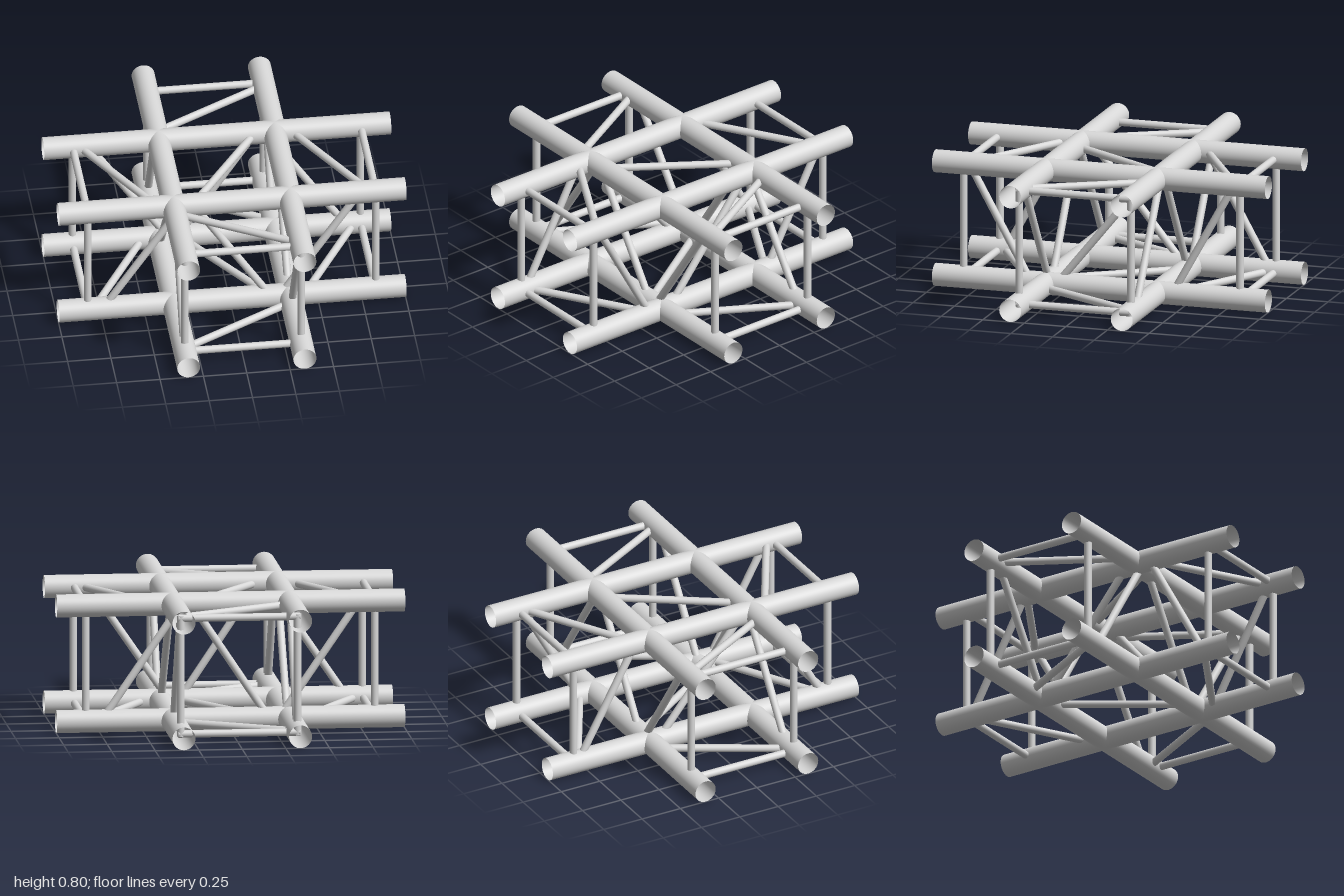
import * as THREE from 'three';

const C = 0.335;   // tube centre offset from the middle axes
const MID = 0.4;   // mid height
const TUBE_R = 0.066;
const BAR_R = 0.022;
const UP = new THREE.Vector3(0, 1, 0);

export function createModel() {
  const model = new THREE.Group();
  // Double-sided, as the main tubes are hollow and open at the ends
  const aluminium = new THREE.MeshStandardMaterial({ color: 0xd8d8d8, side: THREE.DoubleSide });

  // Round bar between two points, heights measured from the mid height
  function rod(parent, name, a, b, radius, open = false, extend = 0) {
    const from = new THREE.Vector3(...a), to = new THREE.Vector3(...b);
    const dir = to.clone().sub(from);
    const geo = new THREE.CylinderGeometry(radius, radius, dir.length() + 2 * extend, open ? 40 : 20, 1, open);
    const mesh = new THREE.Mesh(geo, aluminium);
    mesh.name = name;
    mesh.position.copy(from.add(to).multiplyScalar(0.5));
    mesh.position.y += MID;
    mesh.quaternion.setFromUnitVectors(UP, dir.normalize());
    parent.add(mesh);
  }

  const section = (name) => {
    const g = new THREE.Group();
    g.name = name;
    model.add(g);
    return g;
  };
  const chords = section('mainTubes');
  const frames = section('endFrames');
  const braces = section('diagonalBraces');
  const bar = (name, a, b) => rod(frames, name, a, b, BAR_R, false, 0.015);
  const brace = (name, a, b) => rod(braces, name, a, b, BAR_R, false, 0.04);

  // Open main tubes: two each way on two levels
  for (const y of [-C, C]) {
    for (const s of [-C, C]) {
      rod(chords, 'crossTube', [-1, y, s], [1, y, s], TUBE_R, true);
      rod(chords, 'lengthTube', [s, y, -1], [s, y, 1], TUBE_R, true);
    }
  }

  // Square frame of bars near the end of each arm
  const E = 0.83;
  for (const e of [-E, E]) {
    for (const s of [-C, C]) {
      bar('frameUpright', [s, -C, e], [s, C, e]);
      bar('frameUpright', [e, -C, s], [e, C, s]);
      bar('frameRail', [-C, s, e], [C, s, e]);
      bar('frameRail', [e, s, -C], [e, s, C]);
    }
  }

  // Diagonals: each face carries one, the opposite face carries the other
  const H = 0.27;
  for (const s of [-1, 1]) {
    // centre bay
    brace('centreSideBrace', [-0.18, s * H, s * C], [0.18, -s * H, s * C]);
    brace('centreSideBrace', [s * C, -s * H, 0.22], [s * C, s * H, -0.22]);
    brace('centreLevelBrace', [-0.18, s * C, s * H], [0.18, s * C, -s * H]);

    for (const arm of [-1, 1]) {
      // front and back arms
      brace('armSideBrace', [s * C, s * H, arm * 0.76], [s * C, -s * H, arm * 0.46]);
      brace('armLevelBrace', [-s * H, s * C, arm * 0.455], [s * H, s * C, arm * 0.765]);
      // left and right arms
      brace('armSideBrace', [arm * 0.325, -s * arm * H, s * C], [arm * 0.695, s * arm * H, s * C]);
      brace('armLevelBrace', [arm * 0.46, s * C, -s * arm * H], [arm * 0.76, s * C, s * arm * H]);
    }
  }
  return model;
}
